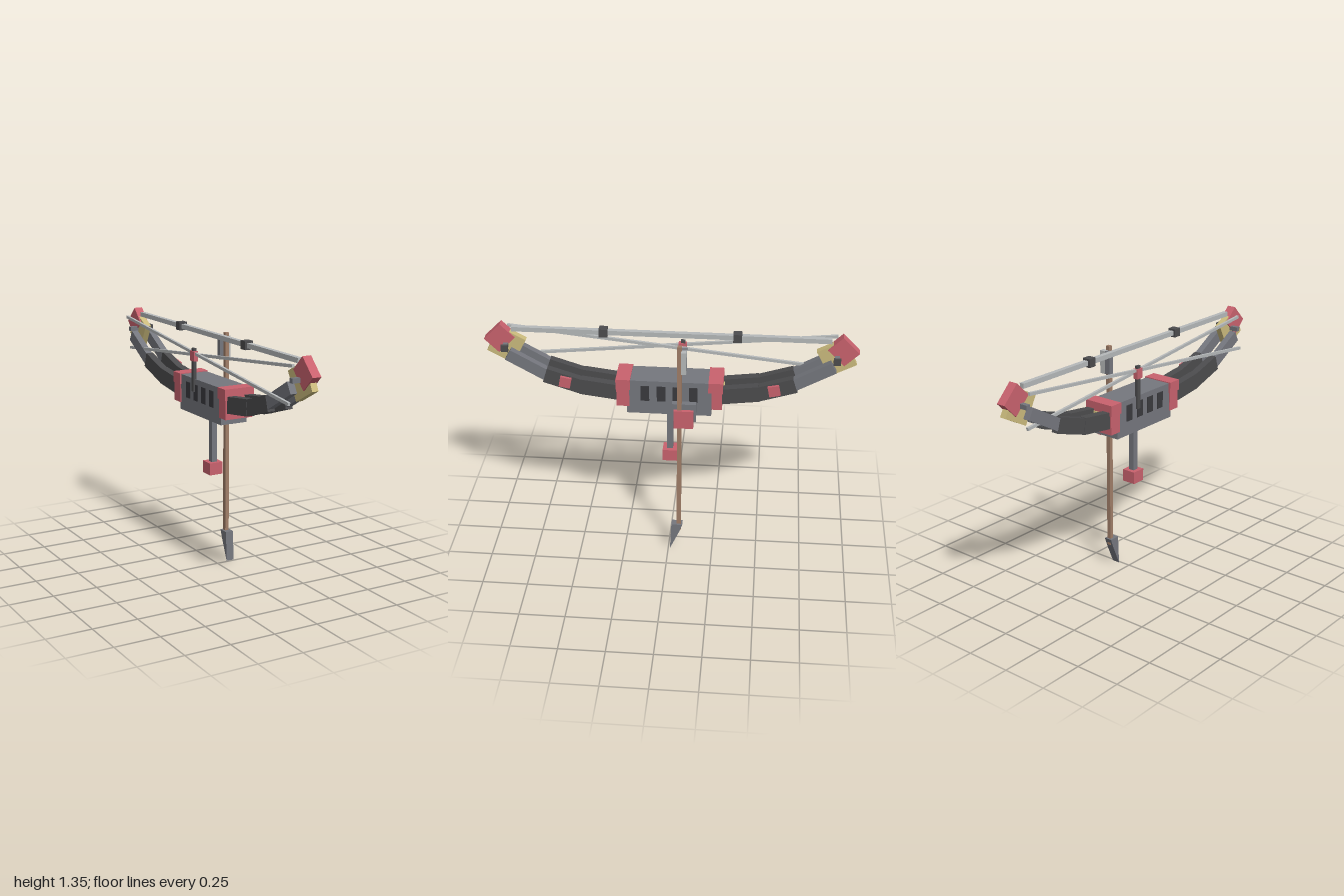
import * as THREE from 'three';

const mat = (name, color, extra = {}) => {
  const m = new THREE.MeshStandardMaterial({ color, ...extra });
  m.name = name;
  return m;
};

export function createModel() {
  const steel = mat('steel grey', 0x75777e);
  const dark = mat('dark grey', 0x4c4c4e);
  const black = mat('slot black', 0x3a3a3e);
  const red = mat('faded red', 0xc9626e);
  const tan = mat('tan', 0xcbbb7d);
  const wood = mat('wood brown', 0xa07e68);
  const light = mat('light grey', 0xb6b9ba);

  const model = new THREE.Group();
  model.name = 'bowAndArrow';
  const CX = -0.03; // centre plane of the bow

  // Box from its extents on each axis
  const box = (name, m, [x0, x1], [y0, y1], [z0, z1], parent = model) => {
    const mesh = new THREE.Mesh(new THREE.BoxGeometry(x1 - x0, y1 - y0, z1 - z0), m);
    mesh.position.set((x0 + x1) / 2, (y0 + y1) / 2, (z0 + z1) / 2);
    mesh.name = name;
    parent.add(mesh);
    return mesh;
  };
  // Square beam between two points of the yz plane
  const beam = (name, m, x, w, h, [z0, y0], [z1, y1], parent = model) => {
    const mesh = new THREE.Mesh(new THREE.BoxGeometry(w, h, Math.hypot(z1 - z0, y1 - y0)), m);
    mesh.position.set(x, (y0 + y1) / 2, (z0 + z1) / 2);
    mesh.rotation.x = -Math.atan2(y1 - y0, z1 - z0);
    mesh.name = name;
    parent.add(mesh);
    return mesh;
  };

  // Central body with side slots
  box('body', steel, [-0.11, 0.05], [0.87, 1.07], [-0.228, 0.228]);
  for (const z of [-0.13, -0.043, 0.043, 0.13]) {
    box('rightSlot', black, [-0.114, -0.109], [0.95, 1.04], [z - 0.023, z + 0.023]);
    box('leftSlot', black, [0.049, 0.054], [0.95, 1.04], [z - 0.023, z + 0.023]);
  }

  // Both bow arms
  for (const s of [1, -1]) {
    const arm = new THREE.Group();
    arm.name = s > 0 ? 'frontArm' : 'backArm';
    model.add(arm);
    const zr = (a, b) => (s > 0 ? [a, b] : [-b, -a]);

    box('endCap', red, [-0.115, 0.05], [0.91, 1.07], zr(0.215, 0.285), arm);
    box('endCapRim', red, [-0.121, 0.057], [1.015, 1.075], zr(0.21, 0.288), arm);
    box('armSocket', tan, [-0.062, 0.002], [0.955, 1.025], zr(0.27, 0.295), arm);

    for (const x of [-0.083, 0.023]) {
      beam('innerLimb', dark, x, 0.046, 0.09, [s * 0.27, 0.988], [s * 0.48, 1.015], arm);
      beam('middleLimb', dark, x, 0.042, 0.085, [s * 0.46, 1.008], [s * 0.67, 1.075], arm);
      beam('outerLimb', steel, x, 0.038, 0.066, [s * 0.65, 1.068], [s * 0.865, 1.19], arm);
    }
    beam('limbClamp', red, 0.04, 0.04, 0.06, [s * 0.53, 1.038], [s * 0.59, 1.05], arm);

    // Tip block, cap and axle
    beam('tipBlock', tan, CX, 0.036, 0.16, [s * 0.811, 1.183], [s * 0.949, 1.257], arm);
    beam('tipCap', red, CX, 0.05, 0.128, [s * 0.875, 1.225], [s * 0.952, 1.302], arm);
    box('axle', steel, [-0.1, 0.04], [1.215, 1.24], zr(0.868, 0.893), arm);
    box('axleNut', dark, [0.03, 0.044], [1.208, 1.246], zr(0.861, 0.899), arm);
    box('stringStop', dark, [-0.054, -0.008], [1.292, 1.338], zr(0.333, 0.379), arm);
  }

  // Straight string and crossed cables
  box('string', light, [-0.043, -0.017], [1.302, 1.328], [-0.85, 0.85]);
  beam('cable', light, -0.112, 0.014, 0.016, [0.885, 1.115], [-0.885, 1.3]);
  beam('cable', light, -0.092, 0.014, 0.016, [-0.885, 1.115], [0.885, 1.3]);

  // Sight post
  box('sightPost', dark, [-0.121, -0.104], [1.0, 1.24], [-0.075, -0.05]);
  box('sightMarker', red, [-0.126, -0.1], [1.17, 1.225], [-0.083, -0.038]);

  // Handle below the body
  box('handleMount', red, [-0.065, 0.005], [0.85, 0.875], [-0.03, 0.038]);
  box('handle', steel, [-0.046, -0.014], [0.6, 0.86], [-0.016, 0.018]);
  box('handlePommel', red, [-0.07, 0.01], [0.54, 0.608], [-0.04, 0.04]);

  // Arrow holder
  box('arrowHolder', steel, [0.06, 0.093], [0.855, 0.96], [-0.148, -0.018]);
  box('arrowHolderPad', red, [0.09, 0.112], [0.82, 0.927], [-0.135, -0.028]);
  box('holderArm', steel, [0.04, 0.065], [0.88, 0.94], [-0.11, -0.05]);

  // Arrow
  const arrow = new THREE.Group();
  arrow.name = 'arrow';
  model.add(arrow);
  box('shaft', wood, [0.078, 0.101], [0.13, 1.31], [-0.071, -0.047], arrow);
  box('rightFletching', steel, [0.055, 0.088], [1.16, 1.287], [-0.096, -0.068], arrow);
  box('leftFletching', light, [0.088, 0.121], [1.16, 1.287], [-0.096, -0.068], arrow);

  // Wedge head, profile drawn in (-z, y) and extruded across x
  const profile = new THREE.Shape([[0.01, 0], [0.062, 0.12], [0.08, 0.17], [0.018, 0.17]]
    .map(([a, b]) => new THREE.Vector2(a, b)));
  const headGeo = new THREE.ExtrudeGeometry(profile, { depth: 0.046, bevelEnabled: false });
  headGeo.rotateY(Math.PI / 2);
  const head = new THREE.Mesh(headGeo, steel);
  head.position.x = 0.066;
  head.name = 'arrowHead';
  arrow.add(head);

  return model;
}
